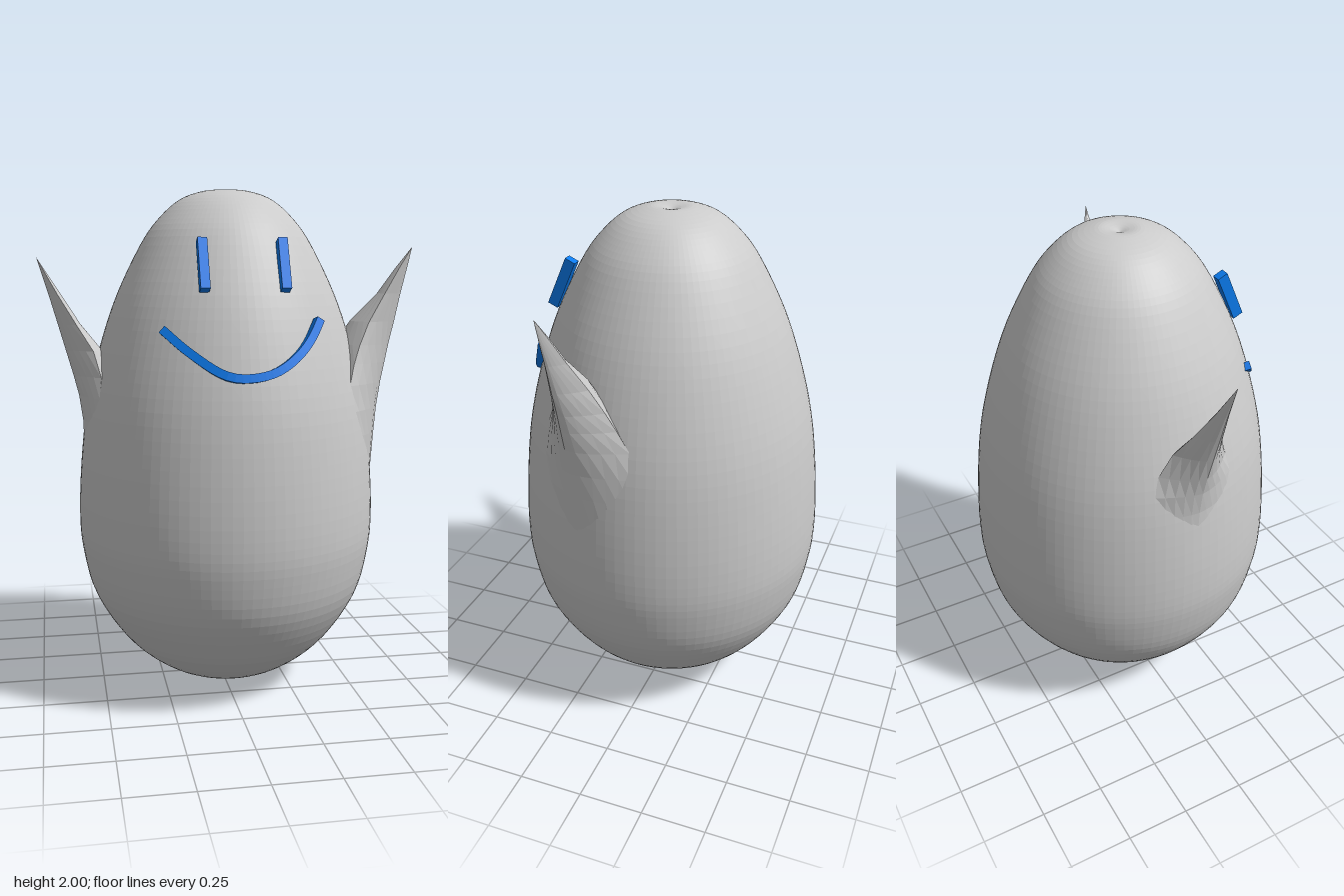
import * as THREE from 'three';

const grey = new THREE.MeshStandardMaterial({ color: 0xcccccc, flatShading: true, side: THREE.DoubleSide });
const blue = new THREE.MeshStandardMaterial({ color: 0x0a7cf0, flatShading: true });
const AXIS_X = 0.02; // the body stands slightly off centre

function mesh(name, geometry, material) {
  const m = new THREE.Mesh(geometry, material);
  m.name = name;
  return m;
}

// Egg-shaped body with a shallow dimple on top
function makeBody() {
  const profile = new THREE.SplineCurve([
    [0, 0], [0.15, 0.02], [0.29, 0.08], [0.43, 0.2], [0.545, 0.38], [0.592, 0.56], [0.603, 0.72],
    [0.59, 0.95], [0.56, 1.18], [0.505, 1.4], [0.435, 1.6], [0.335, 1.8], [0.26, 1.9], [0.18, 1.967],
    [0.09, 1.998], [0.04, 1.996], [0, 1.98],
  ].map(([r, y]) => new THREE.Vector2(r, y)));
  const points = profile.getPoints(72);
  points.forEach((p) => { p.x = Math.max(0, p.x); p.y = Math.min(2, Math.max(0, p.y)); });
  const body = mesh('body', new THREE.LatheGeometry(points, 96), grey);
  body.position.x = AXIS_X;
  return body;
}

// Pointed arm lofted from level sections: [y, outer reach, edge reach, inner reach, half width].
// Local +x points away from the body axis.
function makeArm(name, sections, angle) {
  const N = 10;
  const positions = [];
  const index = [];
  for (const [y, outer, edge, inner, w] of sections) {
    for (let side = 0; side < 2; side++) {
      for (let i = 0; i < N; i++) {
        const s = (side ? -1 : 1) * (1 - (2 * i) / N); // across the arm and back
        const reach = side ? inner : outer;
        positions.push(edge + (reach - edge) * (1 - Math.abs(s) ** 1.5), y, s * w);
      }
    }
  }
  const ring = 2 * N;
  for (let j = 0; j < sections.length - 1; j++) {
    for (let i = 0; i < ring; i++) {
      const a = j * ring + i;
      const b = j * ring + ((i + 1) % ring);
      index.push(a, a + ring, b, b, a + ring, b + ring);
    }
  }
  const g = new THREE.BufferGeometry();
  g.setAttribute('position', new THREE.Float32BufferAttribute(positions, 3));
  g.setIndex(index);
  g.computeVertexNormals();
  const arm = mesh(name, g, grey);
  arm.position.x = AXIS_X;
  arm.rotation.y = angle;
  return arm;
}

// Square bar bent along the curve of the mouth
function makeMouth() {
  const path = new THREE.CatmullRomCurve3([
    [-0.28, 1.475, 0.385], [-0.19, 1.395, 0.452], [-0.07, 1.318, 0.525], [0.01, 1.307, 0.532],
    [0.11, 1.325, 0.518], [0.2, 1.38, 0.483], [0.26, 1.445, 0.445], [0.298, 1.51, 0.415],
  ].map((p) => new THREE.Vector3(...p)));
  const h = 0.016;
  const square = new THREE.Shape([[-h, -h], [h, -h], [h, h], [-h, h]].map((p) => new THREE.Vector2(...p)));
  return mesh('mouth', new THREE.ExtrudeGeometry(square, { steps: 28, extrudePath: path }), blue);
}

export function createModel() {
  const model = new THREE.Group();
  model.add(makeBody());

  // Left arm reaches higher and further forward
  model.add(makeArm('leftArm', [
    [0.9, 0.595, 0.54, 0.4, 0.2], [1.05, 0.605, 0.525, 0.4, 0.22], [1.15, 0.613, 0.515, 0.4, 0.22],
    [1.25, 0.627, 0.505, 0.4, 0.2], [1.33, 0.642, 0.52, 0.41, 0.155], [1.4, 0.655, 0.54, 0.44, 0.12],
    [1.49, 0.675, 0.575, 0.5, 0.08], [1.6, 0.697, 0.635, 0.605, 0.042], [1.7, 0.72, 0.69, 0.675, 0.018],
    [1.78, 0.737, 0.737, 0.737, 0],
  ], -0.29));

  model.add(makeArm('rightArm', [
    [1.0, 0.58, 0.55, 0.4, 0.15], [1.1, 0.583, 0.54, 0.4, 0.16], [1.2, 0.597, 0.53, 0.4, 0.165],
    [1.28, 0.617, 0.52, 0.43, 0.145], [1.38, 0.645, 0.545, 0.505, 0.105], [1.48, 0.673, 0.605, 0.585, 0.065],
    [1.6, 0.707, 0.675, 0.66, 0.03], [1.74, 0.75, 0.75, 0.75, 0],
  ], Math.PI + 0.04));

  // Upright bar eyes leaning back with the head
  for (const [name, x] of [['rightEye', -0.13], ['leftEye', 0.17]]) {
    const eye = mesh(name, new THREE.BoxGeometry(0.036, 0.2, 0.042), blue);
    eye.position.set(x, 1.71, 0.382);
    eye.rotation.x = -0.42;
    model.add(eye);
  }

  model.add(makeMouth());
  return model;
}
